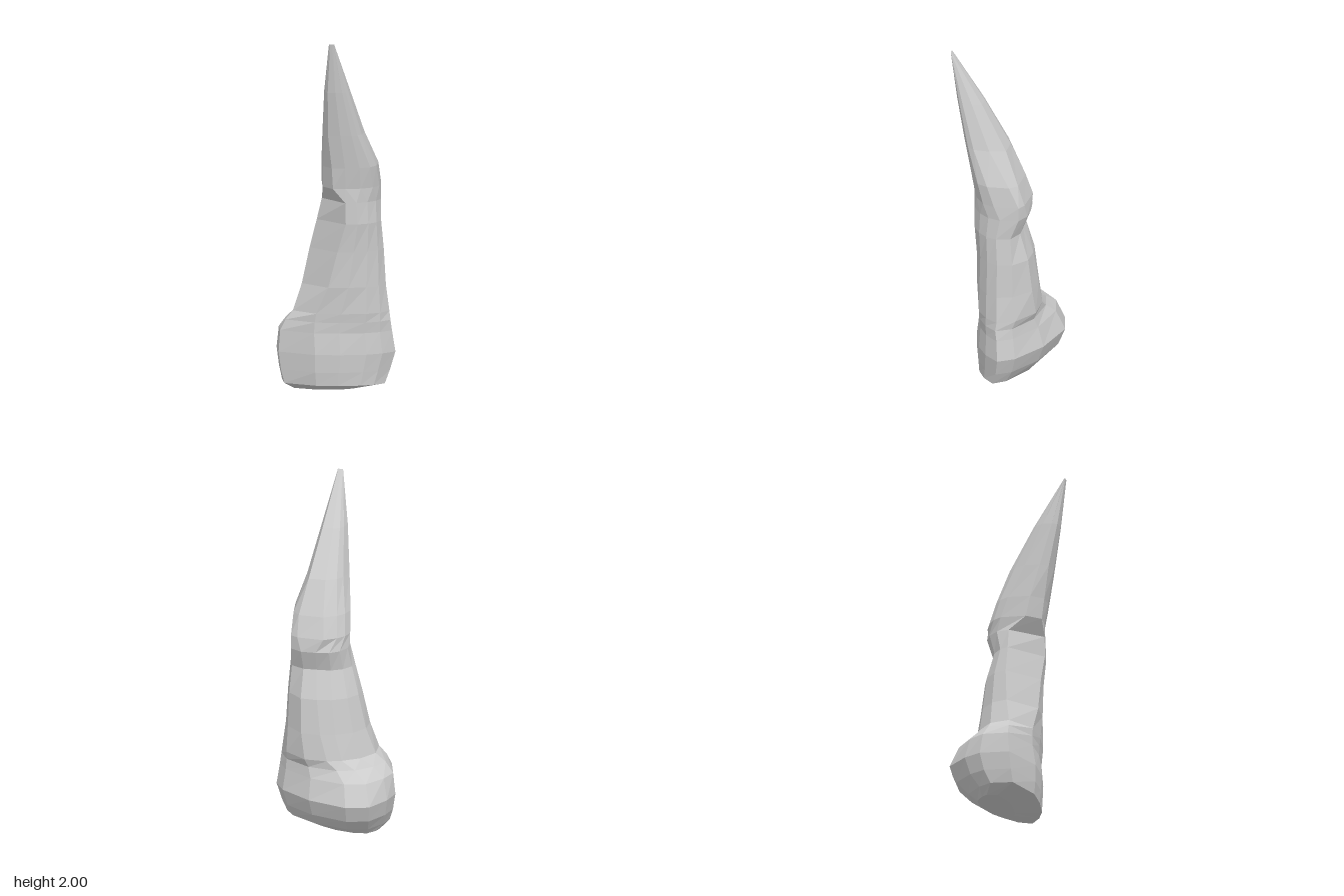
import * as THREE from 'three';

// Key outlines (x, z pairs), running from the front round by +x, the back and -x.
const base = [-0.08, 0.175, 0.06, 0.158, 0.2, 0.115, 0.28, 0.06, 0.34, -0.02, 0.29, -0.11,
  0.12, -0.235, -0.1, -0.31, -0.23, -0.28, -0.31, -0.16, -0.34, -0.06, -0.3, 0.1];
const shoulder = [-0.08, 0.157, 0.06, 0.15, 0.2, 0.115, 0.27, 0.06, 0.31, -0.01, 0.27, -0.11,
  0.15, -0.2, 0.02, -0.208, -0.06, -0.185, -0.16, -0.13, -0.23, -0.04, -0.23, 0.07];
const shaft = [0.02, 0.163, 0.12, 0.145, 0.2, 0.11, 0.255, 0.06, 0.28, 0, 0.26, -0.08,
  0.18, -0.17, 0.08, -0.183, 0, -0.165, -0.09, -0.12, -0.145, -0.05, -0.155, 0.03];
const neck = [0.1, 0.165, 0.16, 0.148, 0.21, 0.11, 0.245, 0.06, 0.26, 0, 0.24, -0.08,
  0.17, -0.115, 0.1, -0.115, 0.02, -0.115, -0.04, -0.085, -0.08, -0.035, -0.09, 0.01];
const head = [0.02, 0.18, 0.09, 0.17, 0.17, 0.14, 0.23, 0.09, 0.255, 0.02, 0.24, -0.12,
  0.2, -0.145, 0.05, -0.16, -0.02, -0.12, -0.06, -0.08, -0.08, -0.03, -0.05, 0.11];
const spike = [0, 0.222, 0.07, 0.225, 0.13, 0.205, 0.16, 0.185, 0.178, 0.15, 0.178, 0.06,
  0.155, -0.03, 0.06, -0.035, 0, -0.01, -0.03, 0.03, -0.053, 0.1, -0.03, 0.18];
const outlines = [base, shoulder, shaft, neck, head, spike];

// Rings: height, x range, z range, position along the outlines.
const rings = [
  [0.0, -0.25, 0.1, -0.14, 0.03, 0],
  [0.045, -0.3, 0.285, -0.2, 0.165, 0],
  [0.12, -0.323, 0.31, -0.27, 0.173, 0],
  [0.22, -0.34, 0.338, -0.31, 0.175, 0],
  [0.34, -0.325, 0.32, -0.26, 0.16, 0.2],
  [0.4, -0.28, 0.313, -0.215, 0.157, 0.6],
  [0.45, -0.225, 0.306, -0.207, 0.157, 1],
  [0.6, -0.18, 0.287, -0.195, 0.163, 1.75],
  [0.8, -0.14, 0.275, -0.17, 0.16, 2.3],
  [0.96, -0.1, 0.262, -0.115, 0.165, 2.9],
  [1.08, -0.072, 0.257, -0.16, 0.165, 3.2],
  [1.16, -0.08, 0.254, -0.16, 0.173, 4],
  [1.28, -0.075, 0.245, -0.12, 0.19, 4.3],
  [1.47, -0.053, 0.178, -0.035, 0.225, 5],
  [1.72, -0.026, 0.117, 0.115, 0.272, 5],
  [2.0, 0.02, 0.05, 0.303, 0.31, 5],
];

// Blends two outlines and fits the result to the ring's ranges.
function ringPoints([y, x0, x1, z0, z1, k]) {
  const i = Math.min(Math.floor(k), outlines.length - 2);
  const flat = outlines[i].map((v, j) => THREE.MathUtils.lerp(v, outlines[i + 1][j], k - i));
  const xs = flat.filter((_, j) => j % 2 === 0);
  const zs = flat.filter((_, j) => j % 2 === 1);
  const fit = (list, a, b) => {
    const lo = Math.min(...list), hi = Math.max(...list);
    return list.map((v) => a + ((v - lo) / (hi - lo)) * (b - a));
  };
  const fx = fit(xs, x0, x1), fz = fit(zs, z0, z1);
  return fx.map((x, j) => [x, y, fz[j]]);
}

function loftGeometry() {
  const loops = rings.map(ringPoints);
  const n = loops[0].length;
  const positions = loops.flat(2);
  const index = [];
  for (let r = 0; r < loops.length - 1; r++) {
    for (let i = 0; i < n; i++) {
      const a = r * n + i, b = r * n + ((i + 1) % n);
      index.push(a, b, b + n, a, b + n, a + n);
    }
  }
  // Fans close the underside and the tip.
  const addCap = (r, up) => {
    const centre = positions.length / 3;
    for (let c = 0; c < 3; c++) positions.push(loops[r].reduce((s, p) => s + p[c], 0) / n);
    for (let i = 0; i < n; i++) {
      const a = r * n + i, b = r * n + ((i + 1) % n);
      index.push(centre, ...(up ? [a, b] : [b, a]));
    }
  };
  addCap(0, false);
  addCap(loops.length - 1, true);
  const geometry = new THREE.BufferGeometry();
  geometry.setAttribute('position', new THREE.Float32BufferAttribute(positions, 3));
  geometry.setIndex(index);
  const faceted = geometry.toNonIndexed();
  faceted.computeVertexNormals();
  return faceted;
}

export function createModel() {
  const group = new THREE.Group();
  group.name = 'rockSpire';
  const material = new THREE.MeshStandardMaterial({ color: 0xcccccc, flatShading: true });
  const spire = new THREE.Mesh(loftGeometry(), material);
  spire.name = 'spire';
  group.add(spire);
  return group;
}
